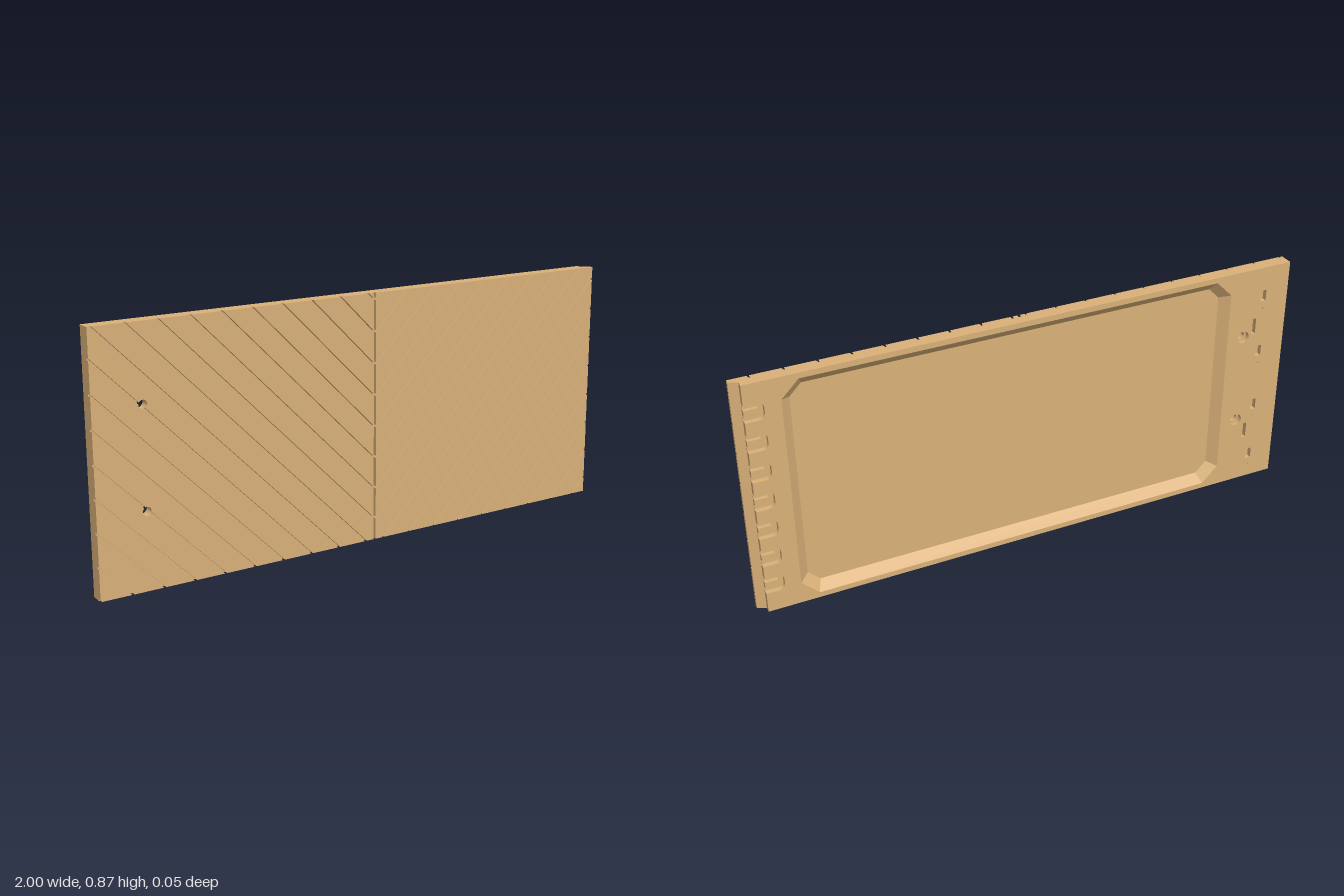
import * as THREE from 'three';

const H = 0.87, SPLIT = 0.027, GAP = 0.004;
const Z_BACK = -0.025, Z_SLOT = -0.007, Z_FLOOR = 0.005, Z_GROOVE = 0.012, Z_FRONT = 0.025;
const X_END = 0.97, PITCH = 0.11;
const BORES = [[-0.83, 0.61], [-0.83, 0.265]];

const shapeOf = (pts) => new THREE.Shape(pts.map(([x, y]) => new THREE.Vector2(x, y)));

function circle([cx, cy], r) {
  return new THREE.Path().absarc(cx, cy, r, 0, Math.PI * 2, true);
}

function rectHole(cx, cy, w, h) {
  return new THREE.Path([[-1, -1], [-1, 1], [1, 1], [1, -1]].map(
    ([sx, sy]) => new THREE.Vector2(cx + sx * w / 2, cy + sy * h / 2)));
}

// Rectangle with chamfered corners, counter-clockwise
function octagon(inset) {
  const x0 = -0.765 + inset, x1 = 0.85 - inset, y0 = 0.02 + inset, y1 = 0.85 - inset;
  const c = 0.06 - inset * 0.586;
  return [[x0 + c, y0], [x1 - c, y0], [x1, y0 + c], [x1, y1 - c],
    [x1 - c, y1], [x0 + c, y1], [x0, y1 - c], [x0, y0 + c]];
}

// Keep the part of a polygon where f(point) >= 0
function clip(poly, f) {
  const out = [];
  poly.forEach((a, i) => {
    const b = poly[(i + 1) % poly.length], fa = f(a), fb = f(b);
    if (fa >= 0) out.push(a);
    if ((fa > 0 && fb < 0) || (fa < 0 && fb > 0)) {
      const t = fa / (fa - fb);
      out.push([a[0] + (b[0] - a[0]) * t, a[1] + (b[1] - a[1]) * t]);
    }
  });
  return out;
}

// Cut round bites out of plank edges where a bore crosses them
function biteEdges(poly, r) {
  const out = [];
  poly.forEach((a, i) => {
    const b = poly[(i + 1) % poly.length];
    out.push(a);
    const len = Math.hypot(b[0] - a[0], b[1] - a[1]);
    if (len < 1e-6) return;
    const dx = (b[0] - a[0]) / len, dy = (b[1] - a[1]) / len;
    for (const [cx, cy] of BORES) {
      const along = (cx - a[0]) * dx + (cy - a[1]) * dy;
      const off = dx * (cy - a[1]) - dy * (cx - a[0]);
      if (Math.abs(off) >= r) continue;
      const half = Math.sqrt(r * r - off * off);
      if (along - half < 0 || along + half > len) continue;
      const base = Math.atan2(dy, dx);
      const start = Math.atan2(-off, -half), end = Math.atan2(-off, half);
      let sweep = start - end;
      if (sweep < 0) sweep += Math.PI * 2;
      for (let k = 0; k <= 12; k++) {
        const ang = base + start - sweep * k / 12;
        out.push([cx + r * Math.cos(ang), cy + r * Math.sin(ang)]);
      }
    }
  });
  return out;
}

export function createModel() {
  const group = new THREE.Group();
  group.name = 'doorPanel';
  const wood = new THREE.MeshStandardMaterial({ color: 0xd9b078 });
  wood.name = 'tan wood';

  const add = (name, geometry) => {
    const mesh = new THREE.Mesh(geometry, wood);
    mesh.name = name;
    group.add(mesh);
    return mesh;
  };
  const slab = (name, shape, z0, z1) => {
    const g = new THREE.ExtrudeGeometry(shape, { depth: z1 - z0, bevelEnabled: false, curveSegments: 20 });
    return add(name, g.translate(0, 0, z0));
  };

  // Back layer: notched end, recess opening, counterbores and small mortises
  const outline = [[-1, 0], [X_END, 0]];
  const notchYs = Array.from({ length: 7 }, (_, i) => 0.106 + i * PITCH);
  for (const y of notchYs) {
    const h = 0.031, r = 0.02, xi = 0.905;
    outline.push([X_END, y - h]);
    for (let k = 0; k <= 5; k++) {
      const a = k / 5 * Math.PI / 2;
      outline.push([xi + r - r * Math.sin(a), y - h + r - r * Math.cos(a)]);
    }
    for (let k = 0; k <= 5; k++) {
      const a = k / 5 * Math.PI / 2;
      outline.push([xi + r - r * Math.cos(a), y + h - r + r * Math.sin(a)]);
    }
    outline.push([X_END, y + h]);
  }
  outline.push([X_END, H], [-1, H]);
  const recessPath = () => new THREE.Path(octagon(0).map(([x, y]) => new THREE.Vector2(x, y)));
  const back = shapeOf(outline);
  back.holes.push(recessPath());
  BORES.forEach((c) => back.holes.push(circle(c, 0.023)));
  for (const y of [0.76, 0.54, 0.315, 0.1]) {
    back.holes.push(rectHole(-0.9, y, 0.022, 0.042), rectHole(-0.9, y - 0.05, 0.006, 0.006));
  }
  for (const y of [0.645, 0.21]) back.holes.push(rectHole(-0.872, y, 0.014, 0.06));
  slab('backFrame', back, Z_BACK, Z_SLOT);

  // Tongues inside the end notches
  for (const y of notchYs) {
    add('notchTongue', new THREE.BoxGeometry(0.045, 0.022, 0.013)).position.set(X_END - 0.0225, y, -0.0135);
  }

  // Middle layer and core behind the planks
  const plainRect = () => shapeOf([[-1, 0], [X_END, 0], [X_END, H], [-1, H]]);
  const middle = plainRect();
  middle.holes.push(recessPath());
  const core = plainRect();
  for (const s of [middle, core]) BORES.forEach((c) => s.holes.push(circle(c, 0.015)));
  slab('middleFrame', middle, Z_SLOT, Z_FLOOR);
  slab('core', core, Z_FLOOR, Z_GROOVE);

  // Sloped walls of the back recess
  const outer = octagon(0), inner = octagon(0.033), pos = [];
  outer.forEach((_, i) => {
    const j = (i + 1) % outer.length;
    const a0 = [...outer[i], Z_BACK], a1 = [...outer[j], Z_BACK];
    const b0 = [...inner[i], Z_FLOOR], b1 = [...inner[j], Z_FLOOR];
    pos.push(...a0, ...b0, ...a1, ...a1, ...b0, ...b1);
  });
  const walls = new THREE.BufferGeometry();
  walls.setAttribute('position', new THREE.Float32BufferAttribute(pos, 3));
  walls.computeVertexNormals();
  add('recessWalls', walls);

  // Chamfered lip along the end; profile in x and -z, extruded upward
  const lip = new THREE.ExtrudeGeometry(
    shapeOf([[X_END, -Z_GROOVE], [1, -Z_GROOVE], [1, -0.0105], [X_END, 0.003]]),
    { depth: H, bevelEnabled: false });
  add('endLip', lip.rotateX(-Math.PI / 2));

  // Herringbone planks, mirrored about the centre groove
  for (const side of [1, -1]) {
    const x0 = SPLIT + 0.005, x1 = side > 0 ? 1 : 1 + 2 * SPLIT;
    for (let k = -2; k <= 17; k++) {
      const hi = 0.943 - PITCH * k - GAP, lo = 0.943 - PITCH * (k + 1) + GAP;
      let p = [[x0, 0], [x1, 0], [x1, H], [x0, H]];
      p = clip(p, ([x, y]) => x - y - lo);
      p = clip(p, ([x, y]) => hi - (x - y));
      if (p.length < 3) continue;
      if (side < 0) p = p.map(([x, y]) => [2 * SPLIT - x, y]).reverse();
      slab(side > 0 ? 'leftPlank' : 'rightPlank', shapeOf(biteEdges(p, 0.015)), Z_GROOVE, Z_FRONT);
    }
  }
  return group;
}
